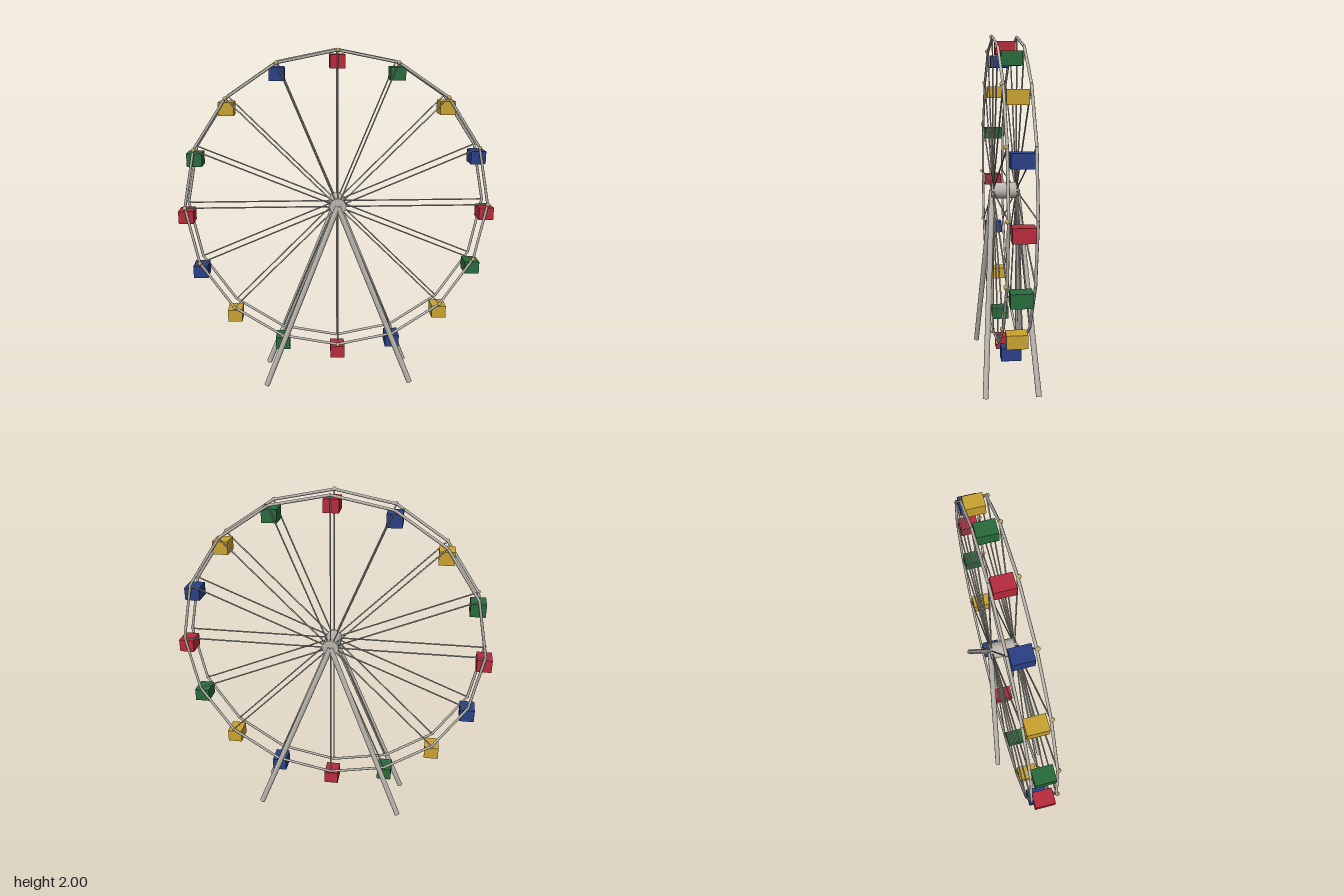
import * as THREE from 'three';

const mat = (name, color) => {
  const m = new THREE.MeshStandardMaterial({ color });
  m.name = name;
  return m;
};

export function createModel() {
  const wheel = new THREE.Group();
  wheel.name = 'ferrisWheel';

  const steel = mat('steel', 0xb8b4ac);
  const brass = mat('bulb brass', 0xc0aa6c);
  const cabinMats = [
    mat('cabin red', 0xb82b3c),
    mat('cabin green', 0x286b3a),
    mat('cabin gold', 0xc9a231),
    mat('cabin blue', 0x2a4084),
  ];

  const CENTER = 1.109, RADIUS = 0.879, COUNT = 16, RIM_Z = 0.069;

  const add = (name, geometry, material, parent = wheel) => {
    const mesh = new THREE.Mesh(geometry, material);
    mesh.name = name;
    parent.add(mesh);
    return mesh;
  };

  // Straight round bar between two points
  const UP = new THREE.Vector3(0, 1, 0);
  const bar = (name, a, b, radius, sides, parent) => {
    const dir = b.clone().sub(a);
    const mesh = add(name, new THREE.CylinderGeometry(radius, radius, dir.length(), sides), steel, parent);
    mesh.position.copy(a).add(b).multiplyScalar(0.5);
    mesh.quaternion.setFromUnitVectors(UP, dir.normalize());
  };

  // Rim corner i, counted clockwise from the top
  const node = (i, z) => {
    const t = (i / COUNT) * Math.PI * 2;
    return new THREE.Vector3(Math.sin(t) * RADIUS, CENTER + Math.cos(t) * RADIUS, z);
  };

  // Axle hub
  const hub = add('hub', new THREE.CylinderGeometry(0.048, 0.048, 0.16, 20), steel);
  hub.rotation.x = Math.PI / 2;
  hub.position.y = CENTER;

  // Two polygonal rims with spokes, and two splayed legs on each side
  for (const side of [1, -1]) {
    const z = side * RIM_Z;
    const label = side > 0 ? 'front' : 'back';
    const rim = new THREE.Group();
    rim.name = label + 'Rim';
    wheel.add(rim);
    const axle = new THREE.Vector3(0, CENTER, z);
    for (let i = 0; i < COUNT; i++) {
      bar('rimSegment', node(i, z), node(i + 1, z), 0.008, 8, rim);
      bar('spoke', axle, node(i, z), 0.0042, 6, rim);
    }
    for (const x of [1, -1]) {
      bar(label + 'Leg', new THREE.Vector3(0, CENTER, side * 0.075),
        new THREE.Vector3(x * 0.437, 0.0065, side * 0.15), 0.0165, 10);
    }
  }

  // Cabins hung below the corners, with bulbs on the front rim
  const cabinGeo = new THREE.BoxGeometry(0.086, 0.074, 0.113);
  const bulbGeo = new THREE.SphereGeometry(0.012, 10, 8);
  for (let i = 0; i < COUNT; i++) {
    const cabin = add('cabin', cabinGeo, cabinMats[i % 4]);
    cabin.position.copy(node(i, 0));
    cabin.position.y -= 0.061;
    add('bulb', bulbGeo, brass).position.copy(node(i, RIM_Z + 0.006));
  }

  return wheel;
}
